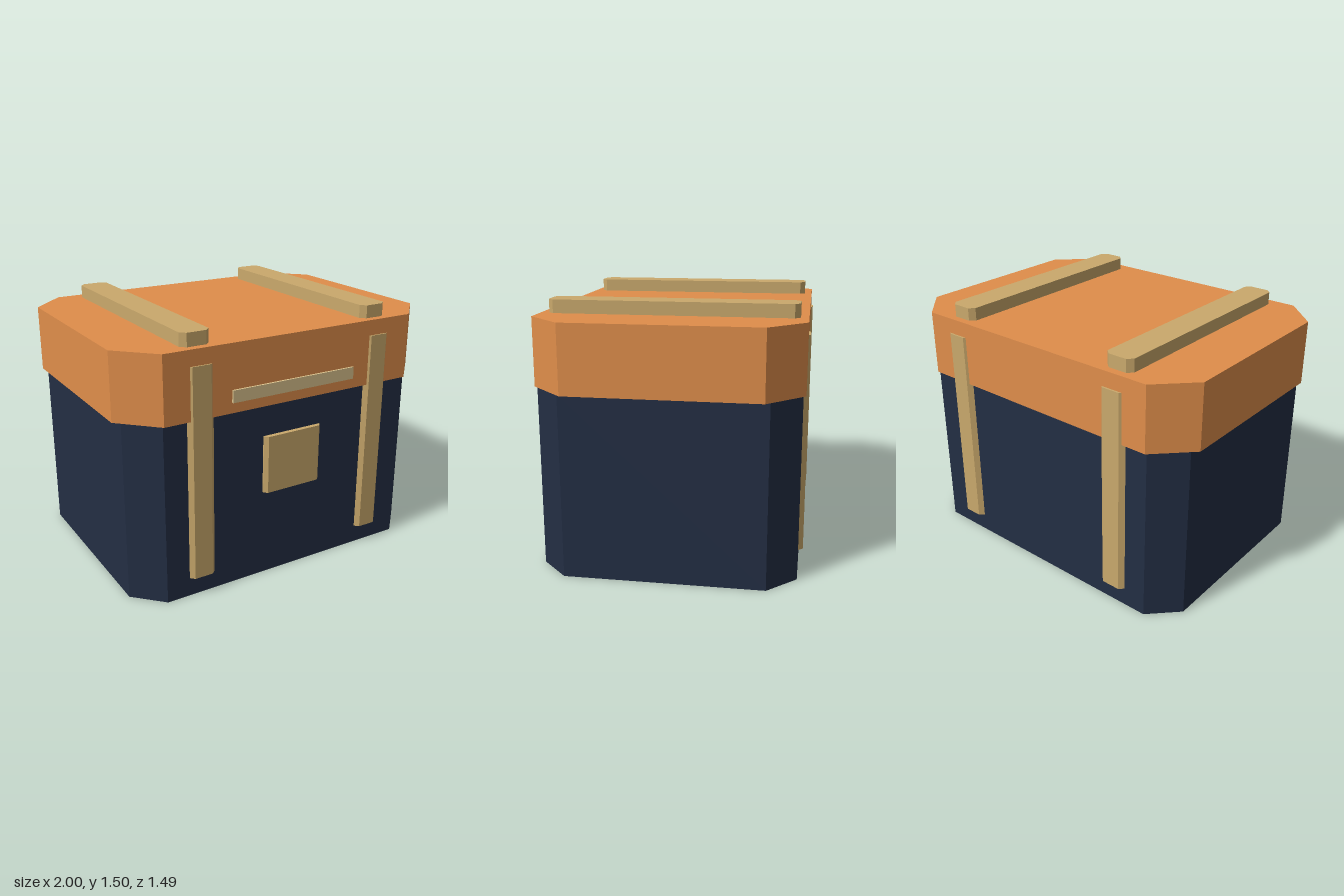
import * as THREE from 'three';

const material = (color) => new THREE.MeshStandardMaterial({ color, flatShading: true });

// Upright block with its four vertical corners cut at 45 degrees
function chamferedBlock(name, mat, { hx, hz, cut, y0, y1, x = 0, z = 0 }) {
  const outline = new THREE.Shape([
    [hx, -hz + cut], [hx, hz - cut], [hx - cut, hz], [-hx + cut, hz],
    [-hx, hz - cut], [-hx, -hz + cut], [-hx + cut, -hz], [hx - cut, -hz],
  ].map(([px, pz]) => new THREE.Vector2(px, pz)));
  const geometry = new THREE.ExtrudeGeometry(outline, { depth: y1 - y0, bevelEnabled: false });
  geometry.rotateX(-Math.PI / 2);
  const mesh = new THREE.Mesh(geometry, mat);
  mesh.name = name;
  mesh.position.set(x, y0, z);
  return mesh;
}

export function createModel() {
  const group = new THREE.Group();
  group.name = 'chest';
  const navy = material(0x232e44);
  const orange = material(0xe08e4b);
  const tan = material(0xcaa96c);
  const cream = material(0xdcc48e);

  // Body and overhanging lid
  group.add(chamferedBlock('body', navy, { hx: 0.96, hz: 0.72, cut: 0.16, y0: 0, y1: 1.04 }));
  group.add(chamferedBlock('lid', orange, { hx: 1, hz: 0.735, cut: 0.2, y0: 1.04, y1: 1.425 }));

  // Straps: an upright band showing at front and back, and a bar across the lid
  for (const [side, x] of [['right', -0.583], ['left', 0.577]]) {
    group.add(chamferedBlock(side + 'Strap', tan,
      { hx: 0.085, hz: 0.745, cut: 0.03, y0: 0.11, y1: 1.335, x, z: -0.001 }));
    group.add(chamferedBlock(side + 'LidBar', tan,
      { hx: 0.086, hz: 0.69, cut: 0.03, y0: 1.4, y1: 1.5, x }));
  }

  // Front latch plate
  group.add(chamferedBlock('latchPlate', tan,
    { hx: 0.19, hz: 0.04, cut: 0.02, y0: 0.52, y1: 0.86, z: 0.707 }));

  // Thin trim strip on the lid front
  const trim = new THREE.Mesh(new THREE.BoxGeometry(0.8, 0.07, 0.04), cream);
  trim.name = 'lidTrim';
  trim.position.set(0, 1.135, 0.727);
  group.add(trim);

  return group;
}
